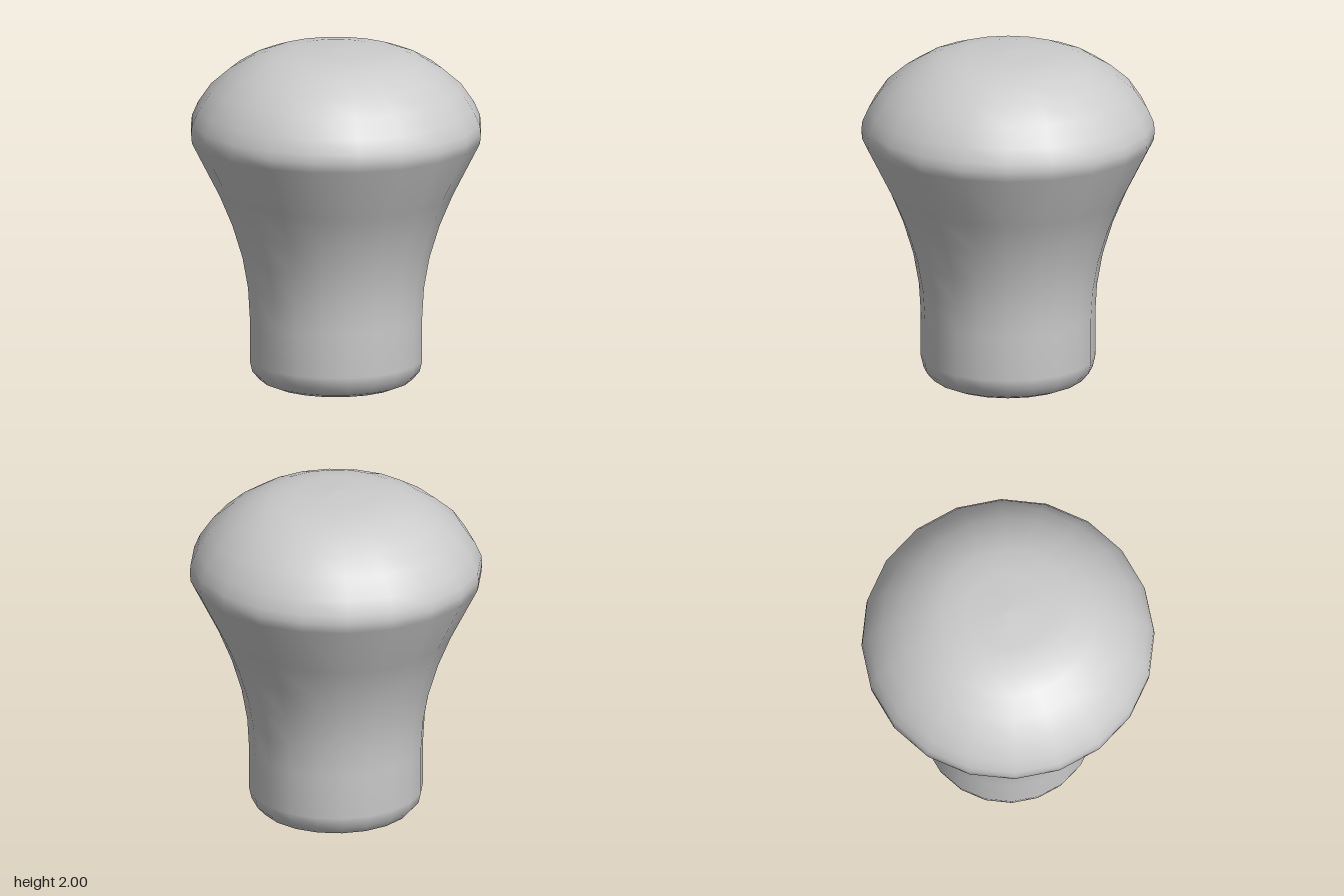
import * as THREE from 'three';

export function createModel() {
  const group = new THREE.Group();
  group.name = 'knob';

  // Turned profile [radius, height], from the bottom centre to the top centre
  const profile = [
    // slightly domed base and rounded foot
    [0, 0], [0.22, 0.01], [0.38, 0.03], [0.44, 0.055], [0.485, 0.105], [0.5, 0.17],
    // straight stem flaring outwards
    [0.5, 0.43], [0.51, 0.6], [0.542, 0.78], [0.6, 0.97], [0.675, 1.15],
    // rim
    [0.835, 1.465], [0.84, 1.52], [0.835, 1.57], [0.8, 1.65],
    // domed cap
    [0.725, 1.76], [0.615, 1.855], [0.5, 1.925], [0.385, 1.967], [0.24, 1.99], [0, 2],
  ].map(([r, y]) => new THREE.Vector2(r, y));

  const body = new THREE.Mesh(
    new THREE.LatheGeometry(profile, 20),
    new THREE.MeshStandardMaterial({ color: 0xcccccc })
  );
  body.name = 'knobBody';
  group.add(body);
  return group;
}
